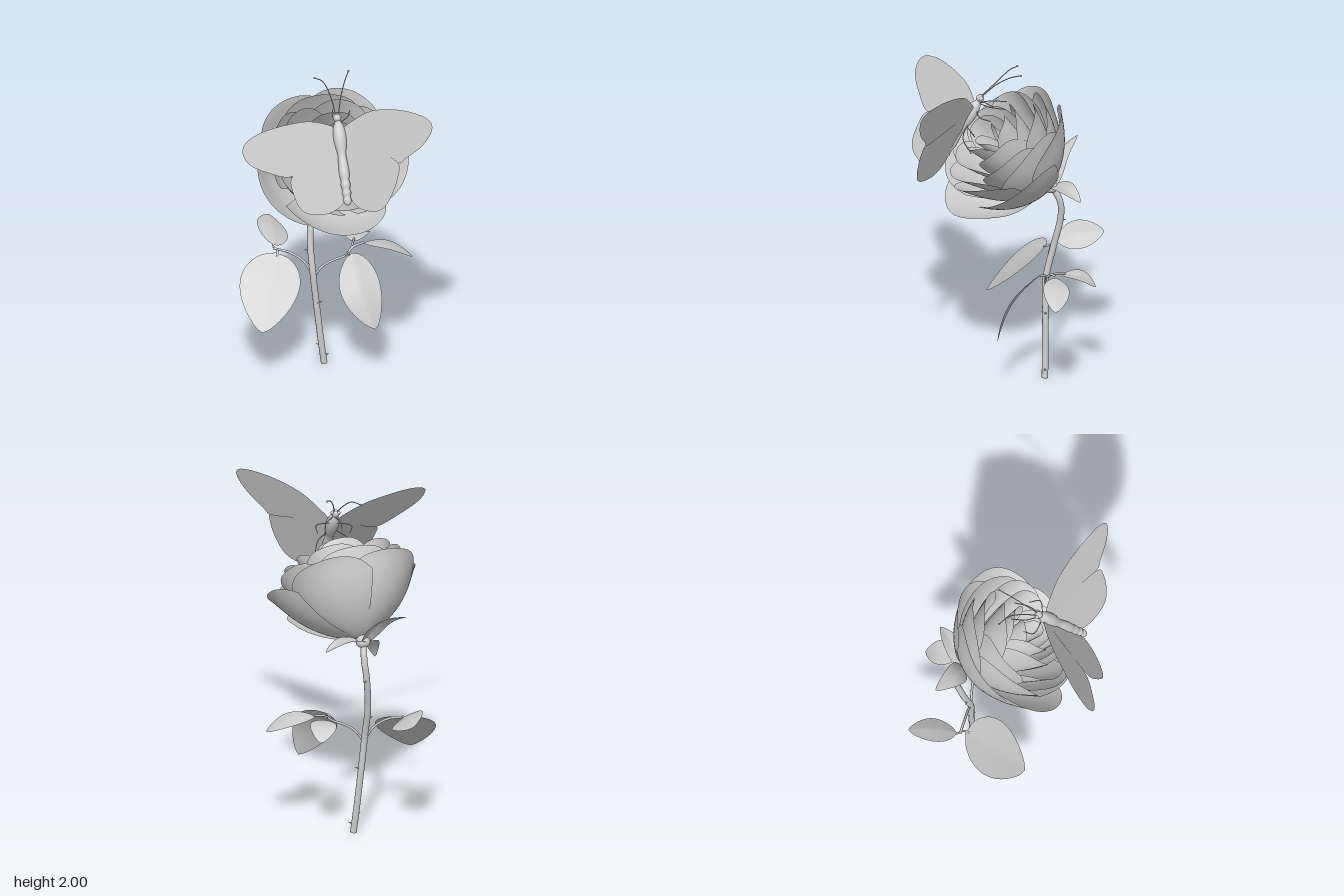
import * as THREE from 'three';
import { ParametricGeometry } from 'three/addons/geometries/ParametricGeometry.js';

const V = (a) => new THREE.Vector3(...a);
const grey = new THREE.MeshStandardMaterial({ color: 0xcccccc });
const thin = new THREE.MeshStandardMaterial({ color: 0xcccccc, side: THREE.DoubleSide });

function add(parent, name, geo, mat = grey) {
  const m = new THREE.Mesh(geo, mat);
  m.name = name;
  parent.add(m);
  return m;
}

function tube(parent, name, pts, r, seg = 24, sides = 8) {
  return add(parent, name, new THREE.TubeGeometry(new THREE.CatmullRomCurve3(pts.map(V)), seg, r, sides));
}

function ball(parent, name, p, r, sy = 1) {
  const m = add(parent, name, new THREE.SphereGeometry(r, 18, 12));
  m.position.set(...p);
  m.scale.y = sy;
  return m;
}

// Pointed blade from base to tip: bend arches it, fold lifts both halves
function blade(parent, name, base, tip, side, width, bend, fold, broad = 0.75) {
  const b = V(base), d = V(tip).sub(b), dir = d.clone().normalize();
  const s = V(side).addScaledVector(dir, -V(side).dot(dir)).normalize();
  const n = dir.clone().cross(s);
  const geo = new ParametricGeometry((u, v, out) => {
    const k = u * 2 - 1;
    const half = width / 2 * Math.pow(Math.sin(Math.PI * Math.pow(v, broad)), 0.7) || 0;
    out.copy(b).addScaledVector(d, v).addScaledVector(s, k * half)
      .addScaledVector(n, bend * Math.sin(Math.PI * v) + fold * Math.abs(k) * half);
  }, 12, 24);
  geo.computeVertexNormals();
  return add(parent, name, geo, thin);
}

// Cupped petal around the flower's own y axis; one side tucks in, the other overlaps
function petal(parent, name, phi, w, R, H, flare, tuck) {
  const geo = new ParametricGeometry((u, v, out) => {
    const k = u * 2 - 1;
    const t = v * (1 - 0.24 * Math.pow(Math.abs(k), 3));
    const a = phi + k * w;
    const r = R * Math.pow(Math.sin(t * Math.PI / 2), 0.85) + flare * Math.pow(t, 5)
      + tuck * k * t + 0.012 * Math.sin(3 * k + phi * 5) * t * t;
    const y = H * Math.pow(t, 1.25) - flare * 0.4 * Math.pow(t, 9);
    out.set(Math.sin(a) * r, y, Math.cos(a) * r);
  }, 20, 20);
  geo.computeVertexNormals();
  add(parent, name, geo, thin);
}

function buildFlower(root) {
  const flower = new THREE.Group();
  flower.name = 'flower';
  flower.position.set(-0.14, 1.205, -0.235);
  flower.rotation.set(0.7, 0, -0.27);
  root.add(flower);
  // rows: count, half angle, radius, height, front-to-back height change, flare, starting angle
  const rows = [
    [5, 0.85, 0.38, 0.39, -0.01, 0.05, 0.2],
    [5, 0.8, 0.33, 0.465, 0.02, 0.035, 0.8],
    [5, 0.8, 0.27, 0.505, 0.01, 0.035, 0.4],
    [4, 0.95, 0.195, 0.55, 0, 0.025, 0.1],
    [3, 1.2, 0.125, 0.56, 0, 0.015, 0.7],
    [2, 1.7, 0.06, 0.54, 0, 0.01, 0.3],
  ];
  rows.forEach(([n, w, R, H, lift, flare, start], row) => {
    for (let i = 0; i < n; i++) {
      const phi = start + i * Math.PI * 2 / n;
      // the outermost petals open wider at the front
      const c = Math.cos(phi), open = row === 0 ? 0.07 : 0;
      petal(flower, 'petal', phi, w, R * (1 + open * c), H + lift * c, flare, R * 0.08);
    }
  });
  ball(root, 'receptacle', [-0.155, 1.192, -0.258], 0.042, 0.9);
}

function buildStem(root) {
  tube(root, 'stem', [[-0.1, 0.003, -0.23], [-0.118, 0.15, -0.23], [-0.143, 0.38, -0.23], [-0.165, 0.6, -0.23],
    [-0.183, 0.79, -0.27], [-0.175, 1.0, -0.315], [-0.162, 1.1, -0.31], [-0.16, 1.19, -0.265]], 0.0185, 60, 12);
  ball(root, 'stemEnd', [-0.1, 0.015, -0.23], 0.0185, 0.8);
  // thorns: position, outward direction
  const thorns = [
    [[-0.122, 0.4, -0.23], [1, 0.2, 0]], [[-0.085, 0.06, -0.23], [1, 0.3, 0.2]], [[-0.13, 0.12, -0.23], [-1, 0.3, 0]],
    [[-0.197, 0.72, -0.25], [-1, 0.3, 0]], [[-0.17, 0.975, -0.33], [0, 0.2, -1]], [[-0.135, 0.4, -0.22], [0, 0.2, 1]],
  ];
  for (const [p, d] of thorns) {
    const m = add(root, 'thorn', new THREE.ConeGeometry(0.009, 0.035, 8));
    m.position.set(...p);
    m.quaternion.setFromUnitVectors(V([0, 1, 0]), V(d).normalize());
  }
  // sepals under the flower
  const hub = [-0.16, 1.19, -0.265];
  blade(root, 'sepal', hub, [-0.4, 1.4, -0.39], [0.4, 0.3, -0.6], 0.13, -0.05, 0.25, 0.65);
  blade(root, 'sepal', hub, [0.055, 1.2, -0.445], [0.6, -0.1, 0.7], 0.12, -0.03, -0.25, 0.65);
  blade(root, 'sepal', hub, [-0.22, 1.01, -0.05], [1, 0, 0.2], 0.11, 0.04, 0.2, 0.65);
}

function buildLeaves(root) {
  // stalks
  tube(root, 'leafStalk', [[-0.165, 0.57, -0.23], [-0.21, 0.65, -0.235], [-0.29, 0.705, -0.24], [-0.39, 0.725, -0.25]], 0.007);
  tube(root, 'leafStalk', [[-0.37, 0.72, -0.246], [-0.365, 0.712, -0.23], [-0.365, 0.7, -0.2]], 0.006, 8);
  tube(root, 'leafStalk', [[-0.38, 0.724, -0.25], [-0.395, 0.73, -0.27], [-0.395, 0.735, -0.3]], 0.006, 8);
  tube(root, 'leafStalk', [[-0.16, 0.56, -0.23], [-0.11, 0.63, -0.235], [-0.05, 0.67, -0.24], [0.02, 0.7, -0.25],
    [0.06, 0.74, -0.28], [0.12, 0.755, -0.31]], 0.007);
  tube(root, 'leafStalk', [[0.02, 0.7, -0.25], [0.035, 0.72, -0.24], [0.045, 0.72, -0.21]], 0.006, 8);
  tube(root, 'leafStalk', [[0.05, 0.73, -0.27], [0.055, 0.745, -0.31], [0.06, 0.75, -0.36]], 0.006, 8);
  // leaves
  blade(root, 'leftLargeLeaf', [-0.375, 0.715, -0.22], [-0.42, 0.385, 0.13], [1, -0.05, 0.1], 0.345, 0.012, 0.06, 0.75);
  blade(root, 'rightLargeLeaf', [0.06, 0.735, -0.22], [0.215, 0.375, 0.015], [0.85, 0.4, -0.02], 0.24, 0.045, 0.08, 0.85);
  blade(root, 'leftSmallLeaf', [-0.39, 0.735, -0.27], [-0.44, 0.78, -0.54], [-0.8, 0.45, 0.1], 0.2, 0.02, -0.1, 0.9);
  blade(root, 'rightBackLeaf', [0.06, 0.74, -0.34], [0.08, 0.68, -0.535], [1, 0.05, 0], 0.15, -0.03, -0.08, 0.9);
  blade(root, 'rightOuterLeaf', [0.12, 0.75, -0.31], [0.395, 0.665, -0.33], [0, -0.2, -1], 0.15, 0.035, -0.08, 0.95);
}

// Flat wing: outline in x and y, depth follows a slanted plane
function wing(parent, name, pts, [x0, y0, z0], a, b) {
  const line = new THREE.SplineCurve(pts.map((p) => new THREE.Vector2(...p))).getPoints(70);
  const geo = new THREE.ShapeGeometry(new THREE.Shape(line));
  const p = geo.attributes.position;
  for (let i = 0; i < p.count; i++) p.setZ(i, z0 + a * (p.getX(i) - x0) + b * (p.getY(i) - y0));
  geo.computeVertexNormals();
  add(parent, name, geo, thin);
}

function buildButterfly(root) {
  const g = new THREE.Group();
  g.name = 'butterfly';
  root.add(g);
  // segmented body, from tail to neck
  const tail = V([0.09, 1.39, 0.385]), neck = V([0.01, 1.8, 0.14]);
  const axis = neck.clone().sub(tail), len = axis.length();
  const profile = [[0, 0], [0.017, 0.02], [0.024, 0.07], [0.019, 0.1], [0.027, 0.15], [0.022, 0.19], [0.028, 0.25],
    [0.024, 0.3], [0.03, 0.38], [0.027, 0.5], [0.024, 0.6], [0.034, 0.72], [0.038, 0.82], [0.031, 0.93], [0.013, 1], [0, 1]];
  const body = add(g, 'body', new THREE.LatheGeometry(
    new THREE.SplineCurve(profile.map(([r, t]) => new THREE.Vector2(r, t * len))).getPoints(60)
      .map((p) => p.setX(Math.max(p.x, 0))), 18));
  body.position.copy(tail);
  body.quaternion.setFromUnitVectors(V([0, 1, 0]), axis.normalize());
  ball(g, 'head', [0.005, 1.815, 0.13], 0.023);
  for (const s of [-1, 1]) ball(g, 'eye', [0.005 + s * 0.016, 1.822, 0.125], 0.012);

  // wings
  const L = [0.04, 1.75, 0.17], R = [0, 1.75, 0.17];
  wing(g, 'leftForewing', [[0.03, 1.75], [0.07, 1.8], [0.2, 1.91], [0.36, 1.97], [0.5, 1.985], [0.565, 1.965],
    [0.565, 1.91], [0.51, 1.82], [0.42, 1.73], [0.37, 1.69], [0.2, 1.72], [0.03, 1.75]], L, 0.61, -0.396);
  wing(g, 'leftHindwing', [[0.03, 1.75], [0.2, 1.73], [0.37, 1.7], [0.378, 1.62], [0.34, 1.5], [0.29, 1.42],
    [0.22, 1.385], [0.14, 1.385], [0.09, 1.44], [0.06, 1.6], [0.03, 1.75]], L, 0.64, -0.4);
  wing(g, 'rightForewing', [[0.01, 1.75], [-0.04, 1.79], [-0.17, 1.84], [-0.36, 1.855], [-0.47, 1.835], [-0.5, 1.79],
    [-0.46, 1.72], [-0.36, 1.655], [-0.22, 1.6], [-0.1, 1.68], [0.01, 1.75]], R, -0.755, -0.715);
  wing(g, 'rightHindwing', [[0.01, 1.75], [-0.1, 1.685], [-0.22, 1.605], [-0.215, 1.53], [-0.16, 1.43], [-0.07, 1.385],
    [0.02, 1.38], [0.075, 1.43], [0.05, 1.6], [0.01, 1.75]], R, -0.77, -0.75);

  // antennae
  const feelers = [
    [[-0.005, 1.83, 0.12], [-0.04, 1.9, 0.04], [-0.09, 1.955, -0.03], [-0.14, 1.955, -0.07]],
    [[0.012, 1.83, 0.12], [0.02, 1.91, 0.04], [0.035, 1.965, -0.04], [0.05, 1.99, -0.105]],
  ];
  for (const f of feelers) {
    tube(g, 'antenna', f, 0.003, 20, 6);
    ball(g, 'antennaTip', f[3], 0.006);
  }
  // legs: front, middle and hind pairs reaching to the petals
  for (const s of [-1, 1]) {
    const x = (d) => 0.015 + s * d;
    tube(g, 'leg', [[x(0.01), 1.79, 0.13], [x(0.04), 1.785, 0.07], [x(0.05), 1.78, -0.02]], 0.003, 12, 6);
    tube(g, 'leg', [[x(0.015), 1.75, 0.15], [x(0.1), 1.745, 0.12], [x(0.09), 1.72, 0.06]], 0.003, 12, 6);
    tube(g, 'leg', [[x(0.015), 1.69, 0.18], [x(0.09), 1.61, 0.22], [x(0.11), 1.52, 0.17]], 0.003, 12, 6);
  }
}

export function createModel() {
  const root = new THREE.Group();
  root.name = 'roseWithButterfly';
  buildStem(root);
  buildLeaves(root);
  buildFlower(root);
  buildButterfly(root);
  return root;
}
